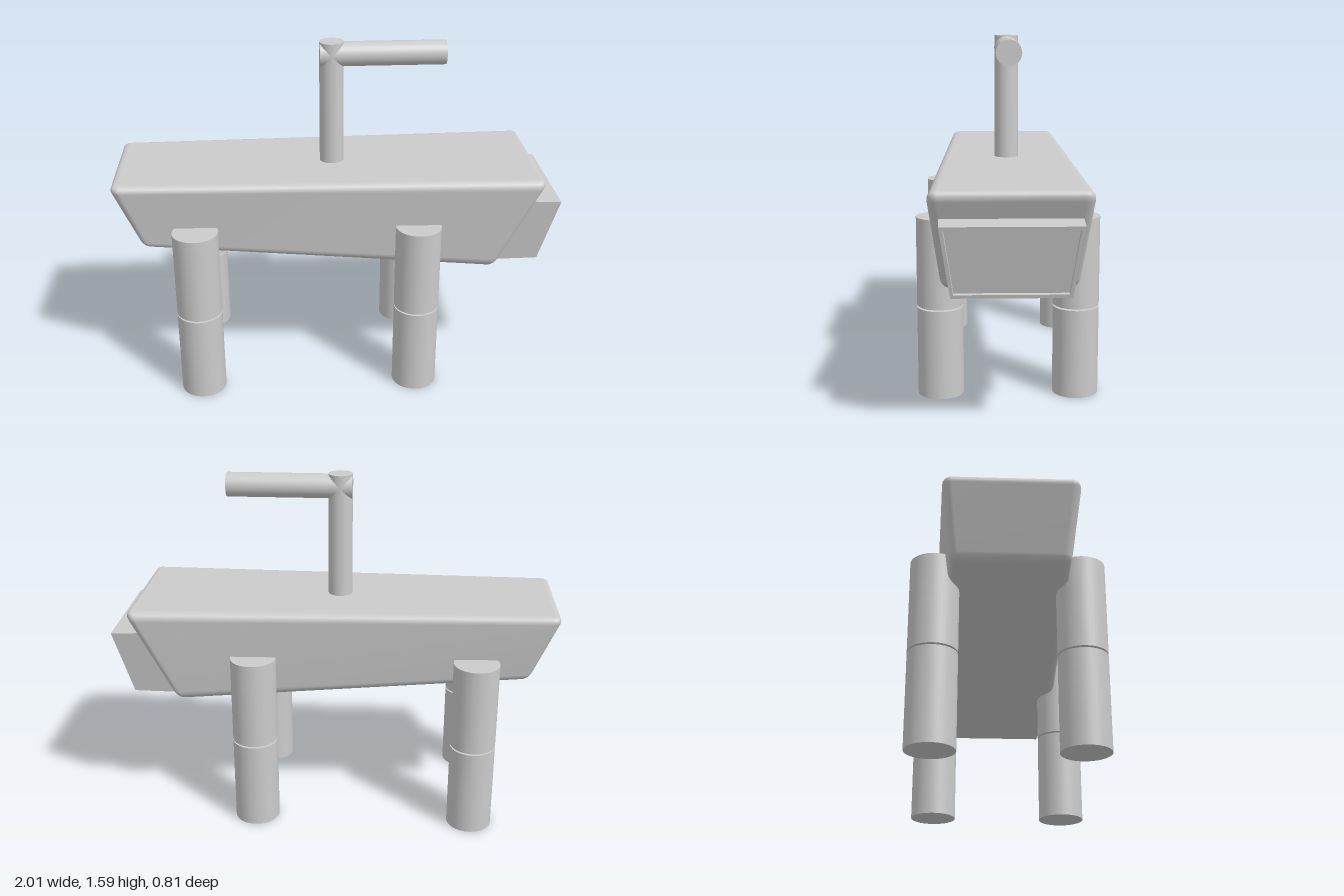
import * as THREE from 'three';
import { RoundedBoxGeometry } from 'three/addons/geometries/RoundedBoxGeometry.js';
import { mergeVertices } from 'three/addons/utils/BufferGeometryUtils.js';

const material = new THREE.MeshStandardMaterial({ color: 0xcccccc });
const mix = THREE.MathUtils.lerp;

function add(parent, name, geometry, mat = material) {
  const mesh = new THREE.Mesh(geometry, mat);
  mesh.name = name;
  parent.add(mesh);
  return mesh;
}

// Rounded block tapered and sheared so its corners follow the body's side profile
function bodyGeometry() {
  const size = [1.85, 0.4, 0.6];
  let g = new RoundedBoxGeometry(...size, 3, 0.04);
  g.deleteAttribute('normal');
  g.deleteAttribute('uv');
  g = mergeVertices(g, 1e-5);
  const p = g.attributes.position;
  for (let i = 0; i < p.count; i++) {
    const u = p.getX(i) / size[0] + 0.5;
    const v = p.getY(i) / size[1] + 0.5;
    const w = p.getZ(i) / size[2] * 2;
    const x = mix(mix(-0.89, 0.715, u), mix(-1.02, 0.93, u), v);
    const y = mix(mix(0.705, 0.575, u), 1.023, v);
    const half = mix(mix(0.24, 0.285, u), mix(0.28, 0.335, u), v);
    p.setXYZ(i, x, y, w * half);
  }
  g.computeVertexNormals();
  return g;
}

// Four-cornered rings joined in order, closed by a quad on the last ring
// ring: [top x, top y, top half width, bottom x, bottom y, bottom half width]
function ringGeometry(rings) {
  const pos = [];
  const corners = rings.map(([tx, ty, tz, bx, by, bz]) => [
    [tx, ty, tz], [tx, ty, -tz], [bx, by, -bz], [bx, by, bz]]);
  const quad = (a, b, c, d) => pos.push(...a, ...b, ...c, ...a, ...c, ...d);
  for (let r = 0; r < corners.length - 1; r++) {
    for (let i = 0; i < 4; i++) {
      const j = (i + 1) % 4;
      quad(corners[r][i], corners[r + 1][i], corners[r + 1][j], corners[r][j]);
    }
  }
  const [a, b, c, d] = corners[corners.length - 1];
  quad(a, d, c, b);
  const g = new THREE.BufferGeometry();
  g.setAttribute('position', new THREE.Float32BufferAttribute(pos, 3));
  g.computeVertexNormals();
  return g;
}

export function createModel() {
  const model = new THREE.Group();
  model.name = 'walkerWithTopHandle';

  add(model, 'body', bodyGeometry());

  // Head box with a thin rim and a sunken face
  const headMaterial = material.clone();
  headMaterial.side = THREE.DoubleSide;
  add(model, 'headBox', ringGeometry([
    [0.82, 0.91, 0.285, 0.68, 0.60, 0.245],
    [1.0, 0.902, 0.28, 0.92, 0.60, 0.24],
    [0.996, 0.888, 0.264, 0.924, 0.615, 0.228],
    [0.976, 0.886, 0.262, 0.904, 0.617, 0.227],
  ]), headMaterial);

  // Four legs, each in two segments with a narrow gap between them
  for (const [end, x] of [['rear', -0.648], ['front', 0.353]]) {
    for (const [side, z] of [['Left', 0.303], ['Right', -0.303]]) {
      const leg = new THREE.Group();
      leg.name = `${end}${side}Leg`;
      leg.position.set(x, 0, z);
      for (const [name, y0, y1] of [['lowerLeg', 0, 0.403], ['upperLeg', 0.411, 0.812]]) {
        add(leg, name, new THREE.CylinderGeometry(0.103, 0.103, y1 - y0, 40))
          .position.y = (y0 + y1) / 2;
      }
      model.add(leg);
    }
  }

  // Upright post and the arm crossing its top
  add(model, 'handlePost', new THREE.CylinderGeometry(0.055, 0.055, 0.665, 40))
    .position.set(-0.022, 1.2525, 0);
  const arm = add(model, 'handleArm', new THREE.CylinderGeometry(0.055, 0.055, 0.565, 40));
  arm.rotation.z = -Math.PI / 2;
  arm.position.set(0.207, 1.527, 0);

  return model;
}
